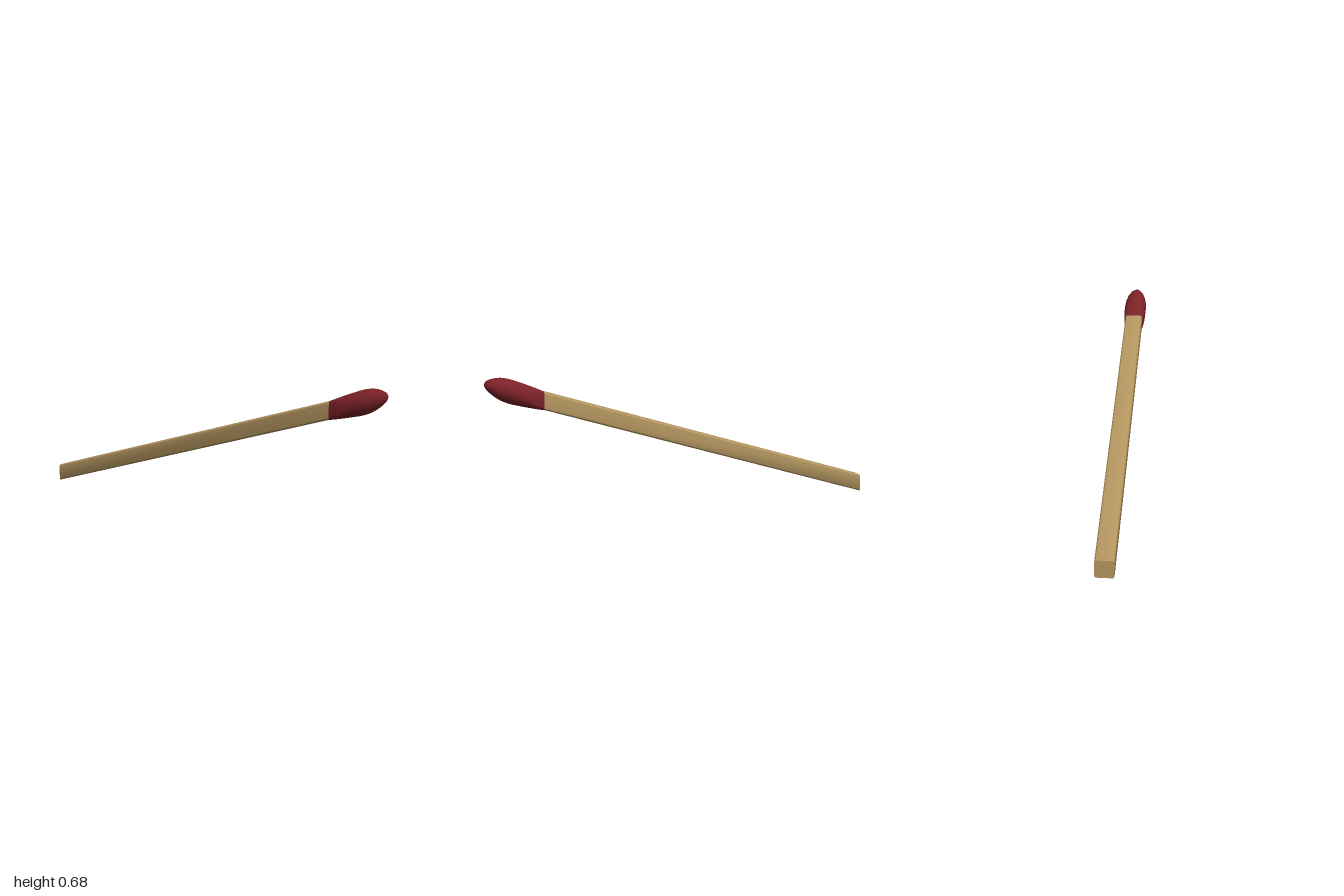
import * as THREE from 'three';
import { toCreasedNormals } from 'three/addons/utils/BufferGeometryUtils.js';

const SLOPE = 0.303;                                  // rise of the match along x
const centreY = (x) => 0.565 + SLOPE * (x - 0.72);
const STEPS = 6;                                      // segments per rounded corner

// Rounded-square section in the yz plane; round = 1 gives a circle
function section(x, halfY, halfZ, round) {
  const points = [];
  for (let q = 0; q < 4; q++) {
    const sy = q === 0 || q === 3 ? 1 : -1;
    const sz = q < 2 ? 1 : -1;
    for (let k = 0; k <= STEPS; k++) {
      const a = (q + k / STEPS) * Math.PI / 2;
      points.push([
        x,
        centreY(x) + halfY * (sy * (1 - round) + round * Math.cos(a)),
        halfZ * (sz * (1 - round) + round * Math.sin(a)),
      ]);
    }
  }
  return points;
}

// Joins sections into a closed skin with a fan cap at each end
function loft(sections) {
  const rings = sections.map((s) => section(...s));
  const n = rings[0].length;
  const last = rings.length - 1;
  const position = rings.flat(2);
  const index = [];
  for (let i = 0; i < last; i++) {
    for (let j = 0; j < n; j++) {
      const a = i * n + j, b = i * n + (j + 1) % n;
      index.push(a, b, a + n, b, b + n, a + n);
    }
  }
  const startCentre = rings.length * n;
  for (const i of [0, last]) position.push(sections[i][0], centreY(sections[i][0]), 0);
  for (let j = 0; j < n; j++) {
    const k = (j + 1) % n;
    index.push(startCentre, k, j, startCentre + 1, last * n + j, last * n + k);
  }
  const geometry = new THREE.BufferGeometry();
  geometry.setAttribute('position', new THREE.Float32BufferAttribute(position, 3));
  geometry.setIndex(index);
  return toCreasedNormals(geometry, 0.8);
}

function part(name, sections, color) {
  const mesh = new THREE.Mesh(loft(sections), new THREE.MeshStandardMaterial({ color }));
  mesh.name = name;
  return mesh;
}

export function createModel() {
  const group = new THREE.Group();
  group.name = 'matchstick';

  // Square wooden stick with softened edges and upright ends
  group.add(part('stick', [
    [-1, 0.044, 0.045, 0.22],
    [0.72, 0.044, 0.045, 0.22],
  ], 0xb3955f));

  // Bulb swelling from the square stick into a rounded tip
  const profile = [
    // x, half height, half width, roundness
    [0.72, 0.045, 0.046, 0.24],
    [0.75, 0.049, 0.052, 0.45],
    [0.78, 0.053, 0.057, 0.7],
    [0.82, 0.057, 0.059, 0.9],
    [0.86, 0.060, 0.059, 1],
    [0.89, 0.060, 0.057, 1],
    [0.92, 0.056, 0.051, 1],
    [0.945, 0.048, 0.043, 1],
    [0.965, 0.038, 0.034, 1],
    [0.98, 0.029, 0.026, 1],
    [0.99, 0.021, 0.019, 1],
    [0.997, 0.011, 0.010, 1],
    [1, 0.003, 0.003, 1],
  ];
  group.add(part('head', profile, 0x7c2228));

  return group;
}
